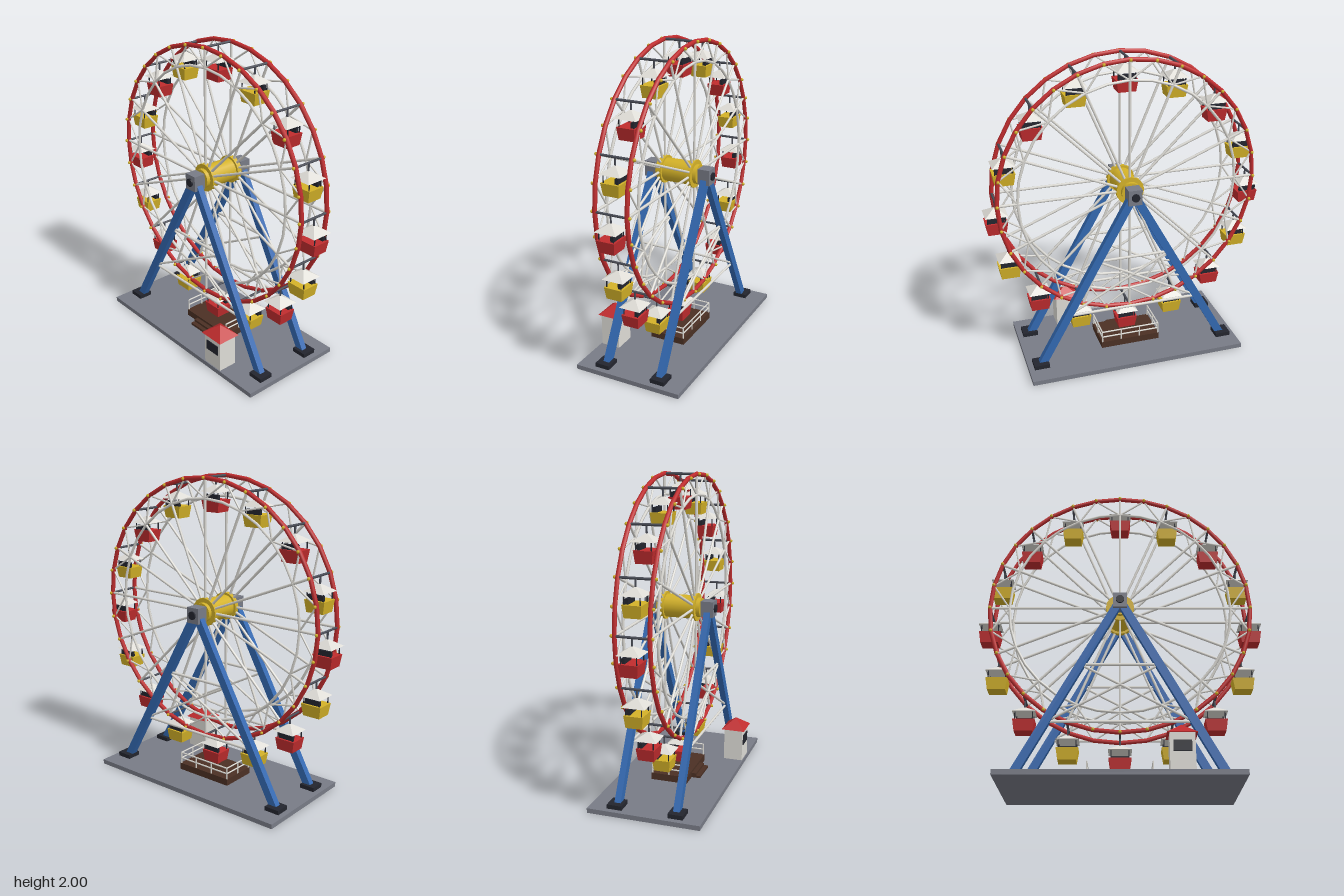
import * as THREE from 'three';

const mat = (name, color) => {
  const m = new THREE.MeshStandardMaterial({ color });
  m.name = name;
  return m;
};
const red = mat('red paint', 0xc02c2e);
const yellow = mat('yellow paint', 0xd4b228);
const blue = mat('blue paint', 0x3369b2);
const white = mat('off white', 0xdedcd6);
const grey = mat('grey concrete', 0x787b86);
const steel = mat('dark steel', 0x4a4d57);
const dark = mat('near black', 0x23252e);
const brown = mat('brown wood', 0x4b3024);

const HUB_Y = 1.156, RIM = 0.83, INNER = 0.705, WHEEL_Z = 0.104, LEG_Z = 0.188;
const V = (x, y, z) => new THREE.Vector3(x, y, z);

function add(parent, name, geo, material, x = 0, y = 0, z = 0) {
  const m = new THREE.Mesh(geo, material);
  m.name = name;
  m.position.set(x, y, z);
  parent.add(m);
  return m;
}
function group(parent, name, x = 0, y = 0, z = 0) {
  const g = new THREE.Group();
  g.name = name;
  g.position.set(x, y, z);
  parent.add(g);
  return g;
}
const box = (parent, name, material, w, h, d, x, y, z) =>
  add(parent, name, new THREE.BoxGeometry(w, h, d), material, x, y, z);

// Round bar between two points
function rod(parent, name, material, a, b, r, sides = 6) {
  const m = add(parent, name, new THREE.CylinderGeometry(r, r, a.distanceTo(b), sides), material);
  m.position.copy(a).add(b).multiplyScalar(0.5);
  m.quaternion.setFromUnitVectors(V(0, 1, 0), b.clone().sub(a).normalize());
  return m;
}
// Cylinder lying along z
function disc(parent, name, material, r, depth, z, sides = 16) {
  const geo = new THREE.CylinderGeometry(r, r, depth, sides).rotateX(Math.PI / 2);
  return add(parent, name, geo, material, 0, HUB_Y, z);
}
// Box with a different size at the top; zero top gives a pyramid
function taper(bw, bd, tw, td, h) {
  const geo = new THREE.BoxGeometry(1, h, 1), p = geo.attributes.position;
  for (let i = 0; i < p.count; i++) {
    const top = p.getY(i) > 0;
    p.setX(i, p.getX(i) * (top ? tw : bw));
    p.setZ(i, p.getZ(i) * (top ? td : bd));
  }
  const flat = geo.toNonIndexed();
  flat.computeVertexNormals();
  return flat;
}
// Point on the wheel, angle counted in 32nds from the top
const onWheel = (k, r, z) =>
  V(Math.sin(k * Math.PI / 16) * r, HUB_Y + Math.cos(k * Math.PI / 16) * r, z);

function buildWheel(parent) {
  const wheel = group(parent, 'wheel');
  const rimGeo = new THREE.TorusGeometry(RIM, 0.014, 8, 32);
  const innerGeo = new THREE.TorusGeometry(INNER, 0.009, 6, 32);
  const bulbGeo = new THREE.SphereGeometry(0.011, 6, 4);
  for (const s of [1, -1]) {
    const z = s * WHEEL_Z;
    add(wheel, 'outerRim', rimGeo, red, 0, HUB_Y, z);
    add(wheel, 'innerRing', innerGeo, white, 0, HUB_Y, z);
    for (let k = 0; k < 32; k++) {
      const b = onWheel(k, RIM, z + s * 0.017);
      add(wheel, 'bulb', bulbGeo, yellow, b.x, b.y, b.z);
    }
    // Spokes and zigzag truss
    for (let k = 0; k < 32; k += 2) {
      rod(wheel, 'spoke', white, onWheel(k, 0.06, z), onWheel(k, RIM, z), 0.0085);
      for (const d of [-1, 1])
        rod(wheel, 'trussBar', white, onWheel(k, INNER, z), onWheel(k + d, RIM, z), 0.006);
    }
  }
  for (let k = 0; k < 32; k += 2)
    rod(wheel, 'crossBar', steel, onWheel(k, RIM, -WHEEL_Z), onWheel(k, RIM, WHEEL_Z), 0.008);

  // Hub
  disc(wheel, 'hubBarrel', yellow, 0.075, 0.2, 0);
  for (const s of [1, -1]) {
    disc(wheel, 'hubFlange', yellow, 0.09, 0.03, s * 0.103);
    disc(wheel, 'hubCollar', yellow, 0.062, 0.025, s * 0.13);
  }
  disc(wheel, 'axle', dark, 0.026, 0.476, 0);
}

function buildCabin(parent, k) {
  const p = onWheel(k, RIM, 0);
  const cabin = group(parent, 'cabin', p.x, p.y, 0);
  const paint = k % 4 === 0 ? red : yellow;
  add(cabin, 'tub', taper(0.112, 0.1, 0.136, 0.116, 0.075), paint, 0, -0.176, 0);
  add(cabin, 'canopy', taper(0.142, 0.142, 0, 0, 0.046), white, 0, -0.068, 0);
  box(cabin, 'seatBack', dark, 0.1, 0.034, 0.02, 0, -0.124, -0.034);
  rod(cabin, 'hanger', steel, V(0, 0, 0), V(0, -0.06, 0), 0.006);
  for (const x of [-0.054, 0.054]) for (const z of [-0.047, 0.047])
    rod(cabin, 'post', dark, V(x, -0.145, z), V(x, -0.088, z), 0.004);
}

function buildTower(parent, s) {
  const tower = group(parent, 'tower', 0, 0, s * LEG_Z);
  const legX = y => 0.018 + 0.602 * (1.13 - y) / 1.09;
  for (const d of [1, -1]) {
    const a = V(d * legX(0.04), 0.04, 0), b = V(d * legX(1.14), 1.14, 0);
    const leg = box(tower, 'leg', blue, 0.052, a.distanceTo(b), 0.04, 0, 0, 0);
    leg.position.copy(a).add(b).multiplyScalar(0.5);
    leg.rotation.z = Math.atan2(a.x - b.x, b.y - a.y);
    box(tower, 'footing', dark, 0.1, 0.028, 0.095, d * 0.63, 0.043, s * 0.006);
    rod(tower, 'diagonalBrace', white, V(d * legX(0.73), 0.73, 0), V(-d * legX(0.365), 0.365, 0), 0.008);
  }
  for (const y of [0.73, 0.365])
    rod(tower, 'brace', white, V(-legX(y), y, 0), V(legX(y), y, 0), 0.009);
  box(tower, 'bearingBlock', grey, 0.088, 0.1, 0.08, 0, HUB_Y - 0.002, 0);
}

function buildDeck(parent) {
  const deck = group(parent, 'boardingDeck');
  box(deck, 'deckFloor', brown, 0.4, 0.045, 0.24, 0, 0.0525, -0.012);
  box(deck, 'upperStep', brown, 0.18, 0.03, 0.03, 0, 0.045, 0.122);
  box(deck, 'lowerStep', brown, 0.18, 0.015, 0.03, 0, 0.0375, 0.15);
  // Railings on the back and both sides
  const corners = [V(-0.195, 0, 0.1), V(-0.195, 0, -0.127), V(0.195, 0, -0.127), V(0.195, 0, 0.1)];
  const at = (p, y) => V(p.x, y, p.z);
  for (let i = 0; i < 3; i++) {
    const a = corners[i], b = corners[i + 1], n = i === 1 ? 3 : 2;
    for (const y of [0.112, 0.15]) rod(deck, 'rail', white, at(a, y), at(b, y), 0.005);
    for (let j = 0; j <= n; j++) {
      const p = a.clone().lerp(b, j / n);
      rod(deck, 'railPost', white, at(p, 0.07), at(p, 0.15), 0.005);
    }
  }
}

function buildBooth(parent) {
  const booth = group(parent, 'ticketBooth', 0.352, 0.03, 0.288);
  box(booth, 'walls', white, 0.146, 0.216, 0.126, 0, 0.108, 0);
  add(booth, 'roof', taper(0.176, 0.156, 0, 0, 0.066), red, 0, 0.249, 0);
  box(booth, 'window', dark, 0.106, 0.066, 0.008, 0, 0.14, 0.064);
}

export function createModel() {
  const model = new THREE.Group();
  model.name = 'ferrisWheel';
  const all = group(model, 'ride', 0, 0, -0.005);
  box(all, 'basePlate', grey, 1.43, 0.03, 0.716, 0, 0.015, 0);
  buildWheel(all);
  for (let k = 0; k < 32; k += 2) buildCabin(all, k);
  for (const s of [1, -1]) buildTower(all, s);
  buildDeck(all);
  buildBooth(all);
  return model;
}
